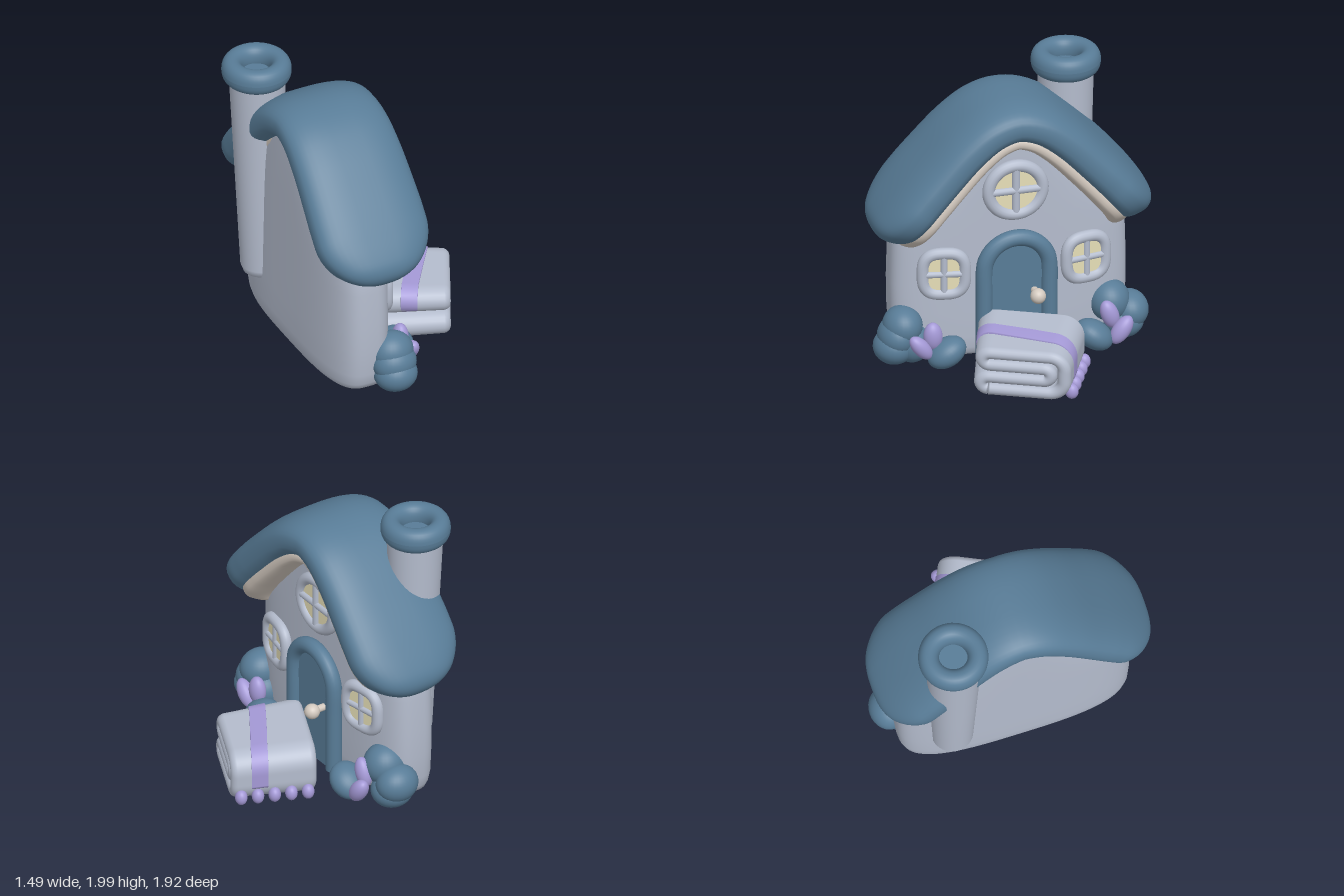
import * as THREE from 'three';

const material = (name, color) => {
  const m = new THREE.MeshStandardMaterial({ color });
  m.name = name;
  return m;
};
const V = (x, y, z) => new THREE.Vector3(x, y, z);
const power = (c, n) => Math.sign(c) * Math.abs(c) ** (2 / n);

// Skin a row of closed rings, capping both ends
function loft(rings) {
  const n = rings[0].length, pos = [], idx = [];
  rings.forEach(r => r.forEach(p => pos.push(p.x, p.y, p.z)));
  for (let i = 0; i < rings.length - 1; i++) {
    for (let j = 0; j < n; j++) {
      const a = i * n + j, b = i * n + (j + 1) % n;
      idx.push(a, b, a + n, b, b + n, a + n);
    }
  }
  for (const end of [0, rings.length - 1]) {
    const c = rings[end].reduce((s, p) => s.add(p), V(0, 0, 0)).divideScalar(n);
    const ci = pos.length / 3;
    pos.push(c.x, c.y, c.z);
    for (let j = 0; j < n; j++) {
      const a = end * n + j, b = end * n + (j + 1) % n;
      if (end === 0) idx.push(ci, b, a); else idx.push(ci, a, b);
    }
  }
  // Turn the faces outward if the enclosed volume is negative
  let volume = 0;
  const at = i => V(pos[3 * i], pos[3 * i + 1], pos[3 * i + 2]);
  for (let i = 0; i < idx.length; i += 3) volume += at(idx[i]).dot(at(idx[i + 1]).cross(at(idx[i + 2])));
  if (volume < 0) idx.reverse();
  const g = new THREE.BufferGeometry();
  g.setAttribute('position', new THREE.Float32BufferAttribute(pos, 3));
  g.setIndex(idx);
  g.computeVertexNormals();
  return g;
}

// Padded arch following the gable, rounded off at both eaves
const ridge = [[0, 1.737], [0.16, 1.697], [0.32, 1.585], [0.51, 1.392], [0.7, 1.175], [0.805, 1.03], [0.865, 0.9]];
function gableArch(drop, thick, wide, trim, centre) {
  const side = ridge.slice(1).map(([x, y]) => V(x, y, 0));
  const curve = new THREE.CatmullRomCurve3([
    ...side.map(p => V(-p.x, p.y, 0)).reverse(), V(0, ridge[0][1], 0), ...side]);
  const len = curve.getLength(), rings = [];
  for (let i = 0; i <= 90; i++) {
    const f = (1 - Math.cos(Math.PI * i / 90)) / 2;
    const q = trim / len + f * (1 - 2 * trim / len);
    const p = curve.getPointAt(q), t = curve.getTangentAt(q);
    const d = Math.min(f, 1 - f) * (len - 2 * trim);
    const round = r => Math.max(0.02, Math.sqrt(1 - (1 - Math.min(d / r, 1)) ** 2));
    const spread = Math.min(1, Math.abs(p.x) / 0.6);
    const th = (thick + 0.008 * spread) * round(thick), wd = (wide + 0.035 * spread) * round(0.36);
    const ring = [];
    for (let j = 0; j < 40; j++) {
      const a = j / 40 * Math.PI * 2;
      const n = power(Math.sin(a), 2.6) * th - drop, w = power(Math.cos(a), 2.7) * wd;
      ring.push(V(p.x - t.y * n, p.y + t.x * n, centre + w));
    }
    rings.push(ring);
  }
  return loft(rings);
}

// Cloth layer: a flat section carried along a path in the (z, y) plane
function cloth(path, count, halfLen, rx, ry, offset) {
  const pts = path.getSpacedPoints(count);
  return loft(pts.map((p, i) => {
    const t = pts[Math.min(i + 1, count)].clone().sub(pts[Math.max(i - 1, 0)]).normalize();
    const ring = [];
    for (let j = 0; j < 20; j++) {
      const a = (j + 0.5) / 20 * Math.PI * 2, c = Math.cos(a);
      const x = Math.sign(c) * (halfLen - rx) + rx * c + offset(p.x), n = Math.sin(a) * ry;
      const s = p.x - t.y * n, k = x / 0.29;
      ring.push(V(x, (p.y + t.x * n) * (1 - 0.08 * Math.max(0, k)), s * (s > 0 ? 1.13 - 0.12 * k : 1)));
    }
    return ring;
  }));
}

export function createModel() {
  const wallMat = material('pale grey', 0xb4bccd), blue = material('slate blue', 0x587c97);
  const purple = material('lavender', 0xa499d6), beige = material('warm beige', 0xd3c9bf);
  const glass = material('pale yellow', 0xebe3bb);
  const root = new THREE.Group(), house = new THREE.Group(), blanket = new THREE.Group();
  root.name = 'cottageWithBlanket';
  house.name = 'house';
  house.rotation.y = Math.PI / 2; // the facade looks along +x
  blanket.name = 'foldedBlanket';
  blanket.position.set(0.37, 0, 0.005);
  blanket.rotation.y = -0.445;
  root.add(house, blanket);
  const add = (parent, name, geo, mat, x = 0, y = 0, z = 0) => {
    const m = new THREE.Mesh(geo, mat);
    m.name = name;
    m.position.set(x, y, z);
    parent.add(m);
    return m;
  };
  const blob = (parent, name, mat, [x, y, z, rx, ry, rz, tilt = 0]) => {
    const m = add(parent, name, new THREE.SphereGeometry(1, 28, 20), mat, x, y, z);
    m.scale.set(rx, ry, rz);
    m.rotation.z = tilt;
  };

  // Walls: rounded plan sections (height, half width, half depth) rising into the gable
  const sections = [[0.01, 0.66, 0.17], [0.018, 0.72, 0.2], [0.04, 0.76, 0.22], [0.08, 0.78, 0.232],
    [0.16, 0.8, 0.239], [0.35, 0.812, 0.24], [0.55, 0.815, 0.24], [0.8, 0.808, 0.24], [0.98, 0.795, 0.24],
    [1.08, 0.75, 0.24], [1.2, 0.68, 0.24], [1.4, 0.5, 0.24], [1.58, 0.33, 0.235], [1.68, 0.2, 0.23]];
  add(house, 'walls', loft(sections.map(([y, hw, hd]) => {
    const ring = [];
    for (let j = 0; j < 72; j++) {
      const a = j / 72 * Math.PI * 2;
      ring.push(V(hw * power(Math.cos(a), 3.1), y, -0.293 + hd * power(Math.sin(a), 3.1)));
    }
    return ring;
  })), wallMat);

  // Roof and the trim under it
  add(house, 'roof', gableArch(0, 0.145, 0.37, 0, -0.235), blue);
  add(house, 'roofTrim', gableArch(0.125, 0.075, 0.29, 0, -0.21), beige);

  // Chimney
  const shaft = [[0, 0.3], [0.09, 0.303], [0.125, 0.32], [0.142, 0.37], [0.165, 1.1], [0.19, 1.88]];
  const chimney = add(house, 'chimneyShaft', new THREE.LatheGeometry(
    shaft.map(([x, y]) => new THREE.Vector2(x, y)), 40), wallMat, 0.47, 0, -0.463);
  chimney.rotation.x = -0.022;
  const rim = [];
  for (let i = 0; i <= 28; i++) {
    const a = i / 28 * Math.PI * 2;
    rim.push(new THREE.Vector2(0.165 + 0.07 * power(Math.cos(a), 2.2), 0.0875 * power(Math.sin(a), 2.2)));
  }
  add(house, 'chimneyCap', new THREE.LatheGeometry(rim, 48), blue, 0.473, 1.9125, -0.507);
  add(house, 'chimneyHole', new THREE.CylinderGeometry(0.15, 0.15, 0.02, 32), blue, 0.473, 1.88, -0.507);

  // Door: arched panel, padded frame and knob
  const d = new THREE.Shape();
  d.moveTo(-0.22, 0.02);
  d.lineTo(0.22, 0.02);
  d.lineTo(0.22, 0.66);
  d.absarc(0, 0.66, 0.22, 0, Math.PI, false);
  d.lineTo(-0.22, 0.02);
  add(house, 'doorPanel', new THREE.ExtrudeGeometry(d, { depth: 0.09, bevelEnabled: false, curveSegments: 24 }),
    blue, 0, 0, -0.1);
  const archPts = [V(-0.225, 0.04, 0), V(-0.225, 0.25, 0), V(-0.225, 0.48, 0)];
  for (let i = 0; i <= 10; i++) {
    const a = Math.PI * (1 - i / 10);
    archPts.push(V(0.225 * Math.cos(a), 0.655 + 0.225 * Math.sin(a), 0));
  }
  archPts.push(V(0.225, 0.48, 0), V(0.225, 0.25, 0), V(0.225, 0.04, 0));
  add(house, 'doorFrame', new THREE.TubeGeometry(new THREE.CatmullRomCurve3(archPts), 70, 0.056, 16),
    blue, 0, 0, -0.016);
  add(house, 'doorKnob', new THREE.SphereGeometry(0.053, 24, 18), beige, 0.12, 0.48, 0.088);
  const stem = add(house, 'knobStem', new THREE.CylinderGeometry(0.025, 0.025, 0.07, 14), beige, 0.12, 0.48, 0.015);
  stem.rotation.x = Math.PI / 2;

  // Windows: padded ring, pane and cross bars
  const addWindow = (name, x, y, z, turn, rx, ry, n, tube, bar) => {
    const g = new THREE.Group();
    g.name = name;
    g.position.set(x, y, z);
    g.rotation.y = turn;
    house.add(g);
    const outline = [];
    for (let i = 0; i < 40; i++) {
      const a = i / 40 * Math.PI * 2;
      outline.push(V(rx * power(Math.cos(a), n), ry * power(Math.sin(a), n), 0));
    }
    const ring = new THREE.CatmullRomCurve3(outline, true);
    add(g, 'windowFrame', new THREE.TubeGeometry(ring, 80, tube, 14, true), wallMat);
    add(g, 'windowPane', new THREE.ExtrudeGeometry(
      new THREE.Shape(outline.map(p => new THREE.Vector2(p.x, p.y))),
      { depth: 0.008, bevelEnabled: false }), glass, 0, 0, 0.008);
    add(g, 'uprightBar', new THREE.CylinderGeometry(bar, bar, ry * 2, 14), wallMat, 0, 0, 0.01);
    add(g, 'crossBar', new THREE.CylinderGeometry(bar, bar, rx * 2, 14), wallMat, 0, 0, 0.01)
      .rotation.z = Math.PI / 2;
  };
  addWindow('roundWindow', 0, 1.225, -0.045, 0, 0.185, 0.178, 2, 0.043, 0.028);
  for (const s of [-1, 1]) addWindow('squareWindow', s * 0.49, 0.655, -0.062, s * 0.18, 0.142, 0.15, 3, 0.041, 0.024);

  // Bushes and flower buds either side of the door
  [[-0.76, 0.28, -0.12, 0.135, 0.135, 0.15], [-0.82, 0.135, -0.12, 0.14, 0.122, 0.15],
    [-0.8, 0.21, -0.12, 0.13, 0.13, 0.155], [-0.7, 0.15, -0.11, 0.13, 0.135, 0.14],
    [-0.5, 0.125, 0.05, 0.14, 0.095, 0.115, 0.5],
    [0.665, 0.285, -0.12, 0.14, 0.145, 0.15], [0.805, 0.2, -0.12, 0.128, 0.13, 0.15],
    [0.76, 0.13, -0.11, 0.14, 0.118, 0.145], [0.51, 0.135, 0.07, 0.14, 0.095, 0.125, -0.6],
  ].forEach(b => blob(house, 'bush', blue, b));
  [[-0.59, 0.245, 0.03, 0.065, 0.1, 0.055, 0.05], [-0.68, 0.185, 0.06, 0.055, 0.105, 0.055, 0.7],
    [0.63, 0.25, 0.03, 0.06, 0.105, 0.055, 0.35], [0.69, 0.165, 0.11, 0.06, 0.11, 0.06, -0.6],
  ].forEach(b => blob(house, 'flowerBud', purple, b));

  // Blanket folded into four layers, with a stripe and a beaded hem
  const H = Math.PI / 2;
  const fold = new THREE.Path();
  fold.moveTo(0.24, 0.052);
  fold.lineTo(-0.17, 0.052);
  fold.absarc(-0.17, 0.152, 0.1, -H, -2 * H, true);
  fold.absarc(-0.17, 0.237, 0.1, 2 * H, H, true);
  fold.absarc(0.23, 0.2895, 0.0475, H, -H, true);
  fold.absarc(-0.13, 0.1945, 0.0475, H, 3 * H, false);
  fold.absarc(0.24, 0.0995, 0.0475, H, -H, true);
  add(blanket, 'blanketLayers', cloth(fold, 170, 0.29, 0.05, 0.047, () => 0), wallMat);
  const band = new THREE.Path();
  band.moveTo(-0.27, 0.13);
  band.lineTo(-0.27, 0.237);
  band.absarc(-0.17, 0.237, 0.1, 2 * H, H, true);
  band.absarc(0.23, 0.2895, 0.0475, H, -H, true);
  add(blanket, 'blanketStripe', cloth(band, 60, 0.058, 0.003, 0.051, s => 0.055 - 0.16 * s), purple);
  for (let i = -2; i <= 2; i++) blob(blanket, 'hemBead', purple, [i * 0.113, 0.065, -0.315, 0.042, 0.054, 0.046]);

  return root;
}
